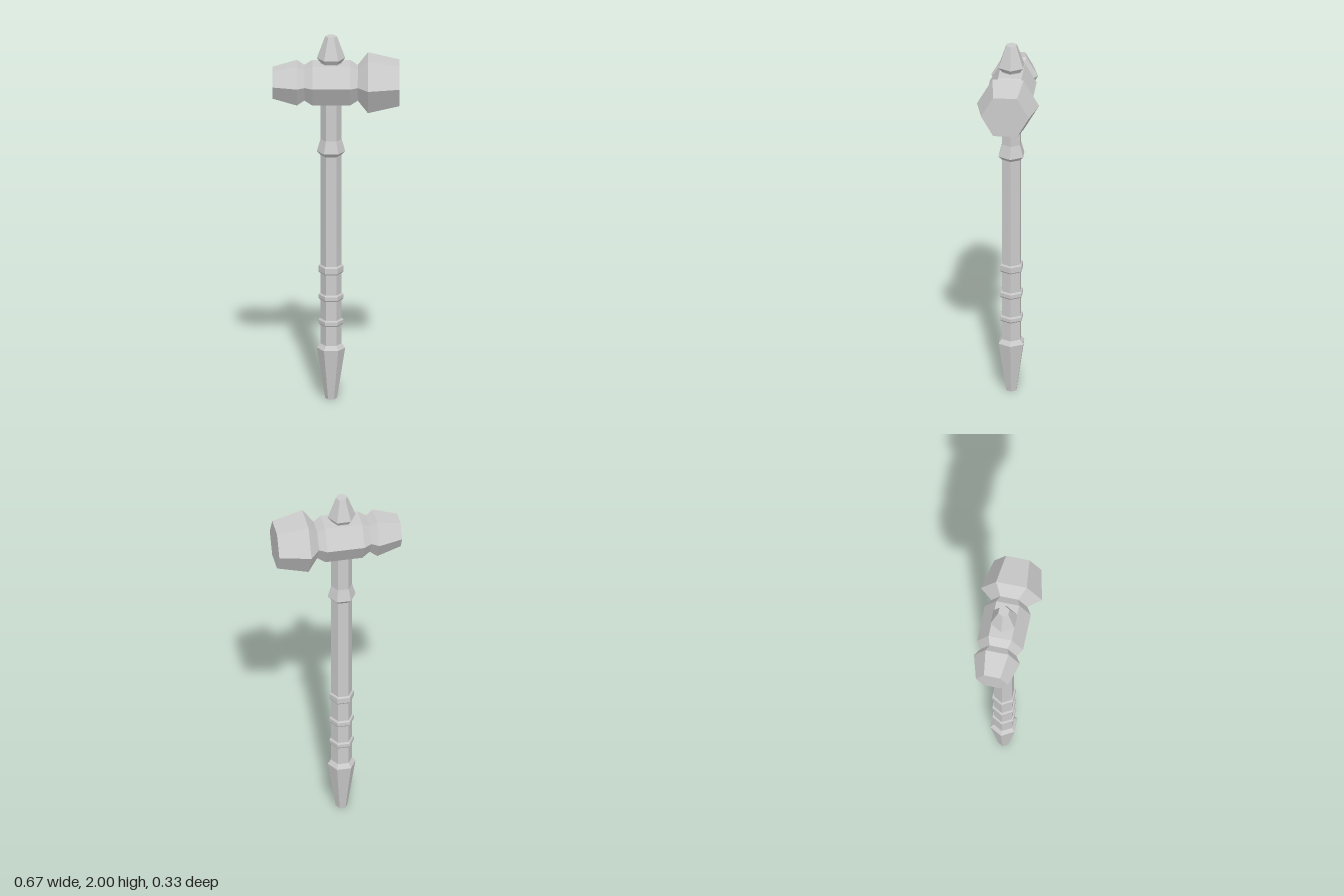
import * as THREE from 'three';

const material = new THREE.MeshStandardMaterial({ color: 0xcccccc, flatShading: true });

// Closed six-sided solid from [radius, height] pairs, bottom to top
function hexSolid(name, profile, phiStart) {
  const first = profile[0], last = profile[profile.length - 1];
  const points = [[0, first[1]], ...profile, [0, last[1]]].map(([r, y]) => new THREE.Vector2(r, y));
  const mesh = new THREE.Mesh(new THREE.LatheGeometry(points, 6, phiStart), material);
  mesh.name = name;
  return mesh;
}

export function createModel() {
  const model = new THREE.Group();
  model.name = 'warHammer';

  // Upright parts share one axis, with hexagon corners on the x sides
  const handle = new THREE.Group();
  handle.name = 'handle';
  handle.position.x = -0.026;
  model.add(handle);
  const addUpright = (name, profile) => handle.add(hexSolid(name, profile, Math.PI / 2));

  // Tapered pommel, grip and flared collar below the head
  addUpright('shaft', [
    [0.031, 0], [0.075, 0.278], [0.056, 0.302],
    [0.056, 1.345], [0.075, 1.365], [0.056, 1.432], [0.056, 1.75],
  ]);

  // Spike above the head
  addUpright('topSpike', [[0.056, 1.75], [0.056, 1.855], [0.075, 1.88], [0.031, 2]]);

  // Grip rings with a slight bevel
  for (const [name, low, high] of [
    ['lowerRing', 0.408, 0.44], ['middleRing', 0.546, 0.58], ['upperRing', 0.694, 0.738],
  ]) {
    addUpright(name, [[0.061, low], [0.066, low + 0.007], [0.066, high - 0.007], [0.061, high]]);
  }

  // Head lies along x, with hexagon corners at front and back
  const head = hexSolid('hammerHead', [
    [0.087, -0.335], [0.124, -0.206], [0.097, -0.167], [0.124, -0.125],
    [0.124, 0.075], [0.097, 0.115], [0.165, 0.169], [0.127, 0.335],
  ], 0);
  head.rotation.z = -Math.PI / 2;
  head.position.y = 1.743;
  model.add(head);

  return model;
}
